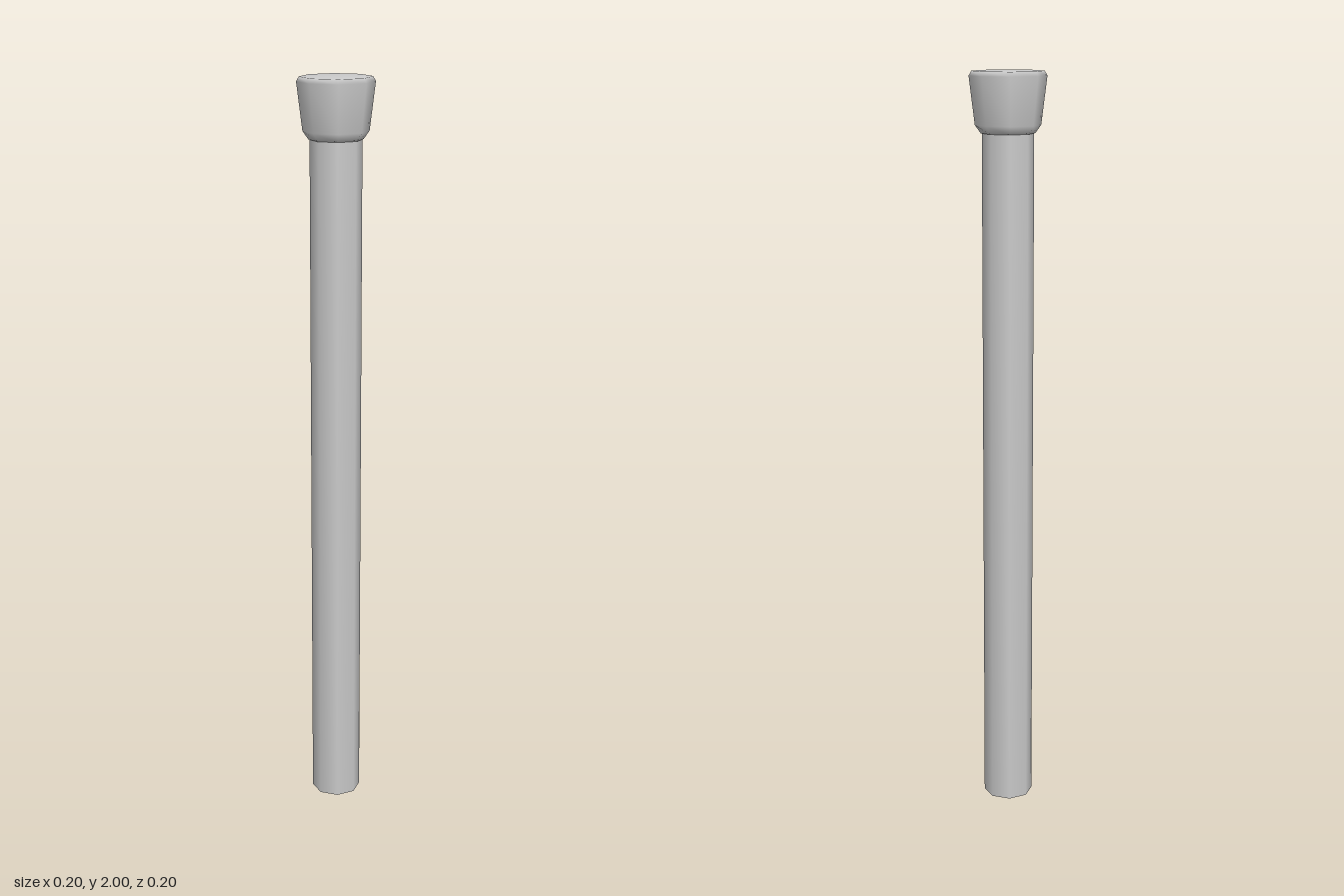
import * as THREE from 'three';

const SIDES = 8;

// Eight-sided turned part with smooth normals, profile listed from bottom to top
function turned(name, profile, material) {
  const points = profile.map(([r, y]) => new THREE.Vector2(r, y));
  const mesh = new THREE.Mesh(new THREE.LatheGeometry(points, SIDES), material);
  mesh.name = name;
  return mesh;
}

export function createModel() {
  const group = new THREE.Group();
  group.name = 'post';
  const material = new THREE.MeshStandardMaterial({ color: 0xcccccc });

  // Long straight shaft with a closed foot
  group.add(turned('shaft', [[0, 0], [0.067, 0], [0.067, 1.85]], material));

  // Flared head with a bevel at both rims and a flat top
  group.add(turned('head', [
    [0, 1.845], [0.07, 1.845], [0.085, 1.866],
    [0.1, 1.988], [0.093, 2], [0, 2],
  ], material));

  return group;
}
